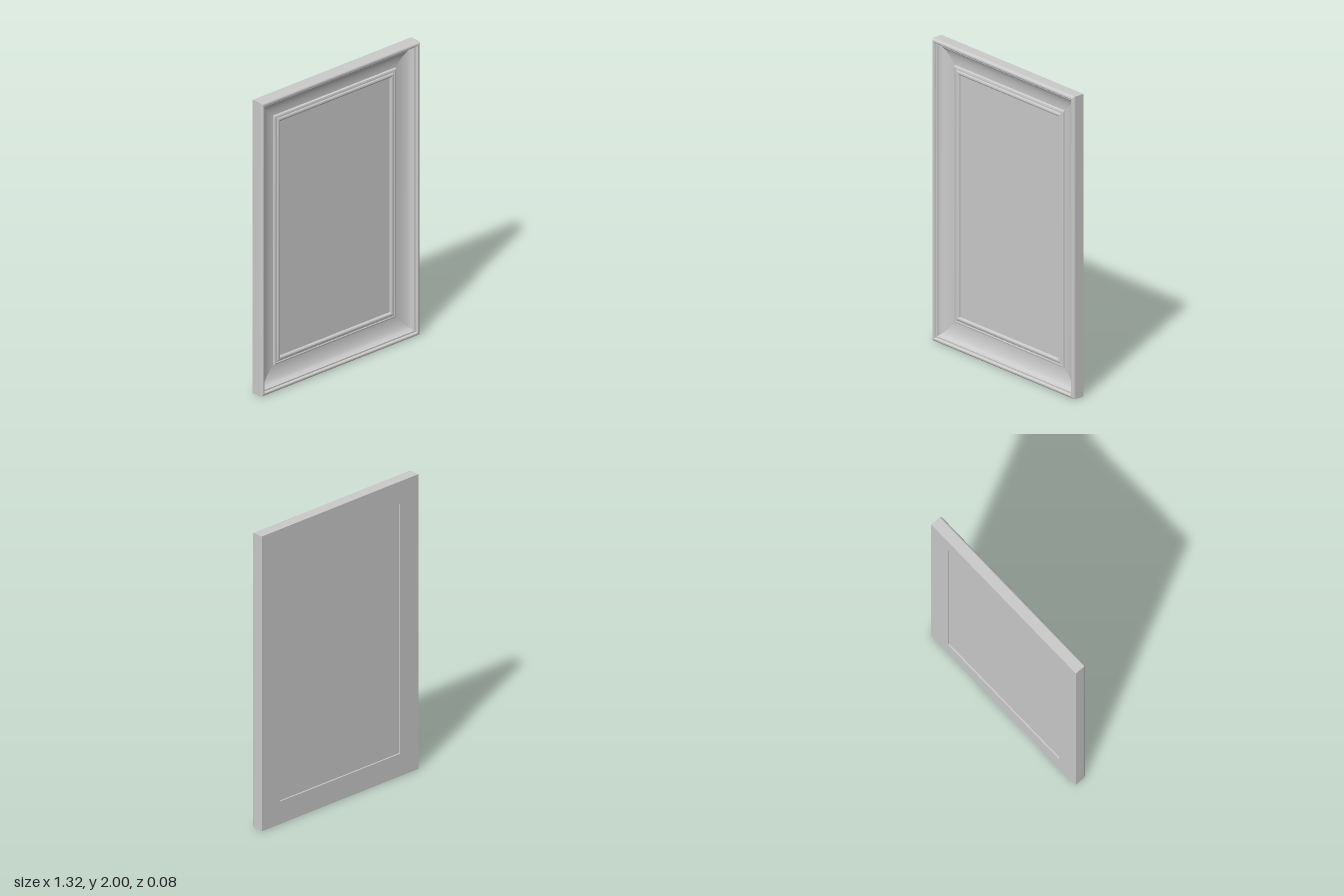
import * as THREE from 'three';
import { toCreasedNormals } from 'three/addons/utils/BufferGeometryUtils.js';

const W = 0.66, H = 1; // half width and half height
const BACK = -0.044;

// Moulding cross-section: [inset from the outer edge, z], from the back edge round the front
function mouldingProfile() {
  const p = [[0, BACK], [0, 0.02]];
  const arc = (cx, cz, rx, rz, from, to, n) => {
    for (let i = 0; i <= n; i++) {
      const a = from + (to - from) * i / n;
      p.push([cx + rx * Math.cos(a), cz + rz * Math.sin(a)]);
    }
  };
  arc(0.016, 0.022, 0.016, 0.018, Math.PI, Math.PI / 2, 6);       // rounded outer rim
  arc(0.018, 0.032, 0.008, 0.008, Math.PI / 2, 0, 4);             // rim inner edge
  p.push([0.027, 0.026], [0.036, 0.026], [0.038, 0.02]);          // small step
  arc(0.15, 0.02, 0.112, 0.045, Math.PI, Math.PI * 1.5, 14);      // hollow cove
  p.push([0.154, -0.012], [0.164, -0.01], [0.166, -0.014], [0.173, -0.014]); // fillet
  arc(0.186, -0.016, 0.013, 0.009, Math.PI, 0, 8);                // inner bead
  p.push([0.2, -0.034], [0.153, -0.034], [0.153, BACK]);          // rebate at the back
  return p;
}

// Mitred rail along x: half length and distance of its outer edge from the centre
function railGeometry(profile, halfLength, offset) {
  const pos = [];
  profile.forEach(([d, z], i) => {
    const [e, w] = profile[(i + 1) % profile.length];
    const a0 = [d - halfLength, offset - d, z], a1 = [halfLength - d, offset - d, z];
    const b0 = [e - halfLength, offset - e, w], b1 = [halfLength - e, offset - e, w];
    pos.push(...a0, ...b0, ...b1, ...a0, ...b1, ...a1);
  });
  const g = new THREE.BufferGeometry();
  g.setAttribute('position', new THREE.Float32BufferAttribute(pos, 3));
  return toCreasedNormals(g, 0.6);
}

export function createModel() {
  const model = new THREE.Group();
  model.name = 'pictureFrame';
  const material = new THREE.MeshStandardMaterial({ color: 0xcccccc });
  const profile = mouldingProfile();

  // Four mitred rails
  const rail = railGeometry(profile, W, H);
  const stile = railGeometry(profile, H, W);
  ['topRail', 'rightStile', 'bottomRail', 'leftStile'].forEach((name, i) => {
    const mesh = new THREE.Mesh(i % 2 ? stile : rail, material);
    mesh.name = name;
    mesh.rotation.z = i * Math.PI / 2;
    mesh.position.y = H;
    model.add(mesh);
  });
  // Rotating anticlockwise puts the second part on -x, the model's right

  // Flat panel held in the rebate
  const panel = new THREE.Mesh(new THREE.BoxGeometry(2 * (W - 0.154), 2 * (H - 0.154), 0.013), material);
  panel.name = 'panel';
  panel.position.set(0, H, -0.0285);
  model.add(panel);
  return model;
}
